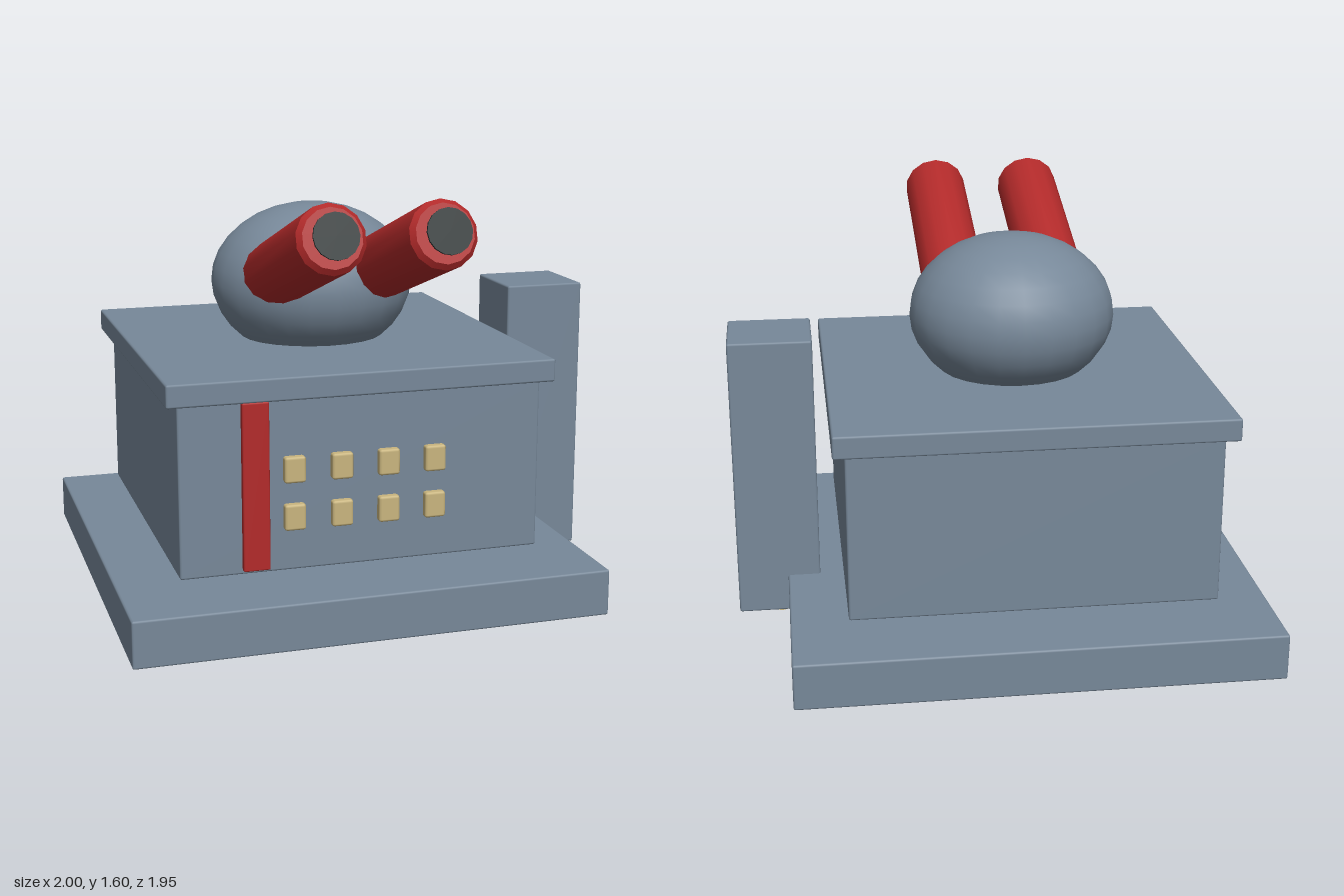
import * as THREE from 'three';
import { RoundedBoxGeometry } from 'three/addons/geometries/RoundedBoxGeometry.js';

function material(name, color) {
  const m = new THREE.MeshStandardMaterial({ color });
  m.name = name;
  return m;
}

export function createModel() {
  const model = new THREE.Group();
  model.name = 'gunTurretBuilding';
  const slate = material('slate grey', 0x778899);
  const red = material('red', 0xb22a2a);
  const sand = material('sand', 0xc9b57e);
  const dark = material('dark bore', 0x242e2e);

  const add = (name, geometry, mat, parent = model) => {
    const mesh = new THREE.Mesh(geometry, mat);
    mesh.name = name;
    parent.add(mesh);
    return mesh;
  };

  // Softly edged box given by its min and max on each axis
  const box = (name, mat, [x0, x1], [y0, y1], [z0, z1], edge = 0.008) => {
    const g = new RoundedBoxGeometry(x1 - x0, y1 - y0, z1 - z0, 1, edge);
    add(name, g, mat).position.set((x0 + x1) / 2, (y0 + y1) / 2, (z0 + z1) / 2);
  };

  // Slab, main block, roof and side tower
  box('base', slate, [-1, 0.805], [0, 0.178], [-0.97, 0.838]);
  box('body', slate, [-0.785, 0.592], [0.23, 0.88], [-0.752, 0.625]);
  box('roof', slate, [-0.83, 0.636], [0.876, 0.962], [-0.798, 0.668]);
  box('tower', slate, [0.68, 1], [0.028, 1.135], [-0.225, 0.092]);

  // Foot under the tower
  add('towerFoot', new THREE.CylinderGeometry(0.108, 0.108, 0.06, 8), sand)
    .position.set(0.835, 0.031, -0.065);

  // Front stripe and two rows of windows
  box('frontStripe', red, [-0.56, -0.46], [0.252, 0.878], [0.64, 0.668], 0.006);
  for (const y of [0.44, 0.618]) {
    for (let i = 0; i < 4; i++) {
      const x = -0.365 + i * 0.178;
      box('window', sand, [x - 0.04, x + 0.04], [y - 0.049, y + 0.049], [0.63, 0.668], 0.01);
    }
  }

  // Flattened dome
  const dome = add('dome', new THREE.SphereGeometry(1, 24, 16), slate);
  dome.scale.set(0.397, 0.307, 0.38);
  dome.position.set(-0.097, 1.18, -0.066);

  // Raised twin barrels: local +y runs out of the muzzle
  const length = 0.9;
  const profile = [[0, -length], [0.125, -length], [0.125, -0.02], [0.125, -0.02],
    [0.107, 0], [0.107, 0], [0, 0]].map(([r, y]) => new THREE.Vector2(r, y));
  for (const x of [-0.297, 0.103]) {
    const barrel = new THREE.Group();
    barrel.name = 'barrel';
    barrel.position.set(x, 1.485, 0.905);
    barrel.rotation.x = Math.PI / 2 - 0.307;
    add('barrelTube', new THREE.LatheGeometry(profile, 14), red, barrel);
    // Thin bore disc ahead of the muzzle
    add('bore', new THREE.CylinderGeometry(0.082, 0.082, 0.009, 16), dark, barrel)
      .position.y = 0.044;
    model.add(barrel);
  }
  return model;
}
